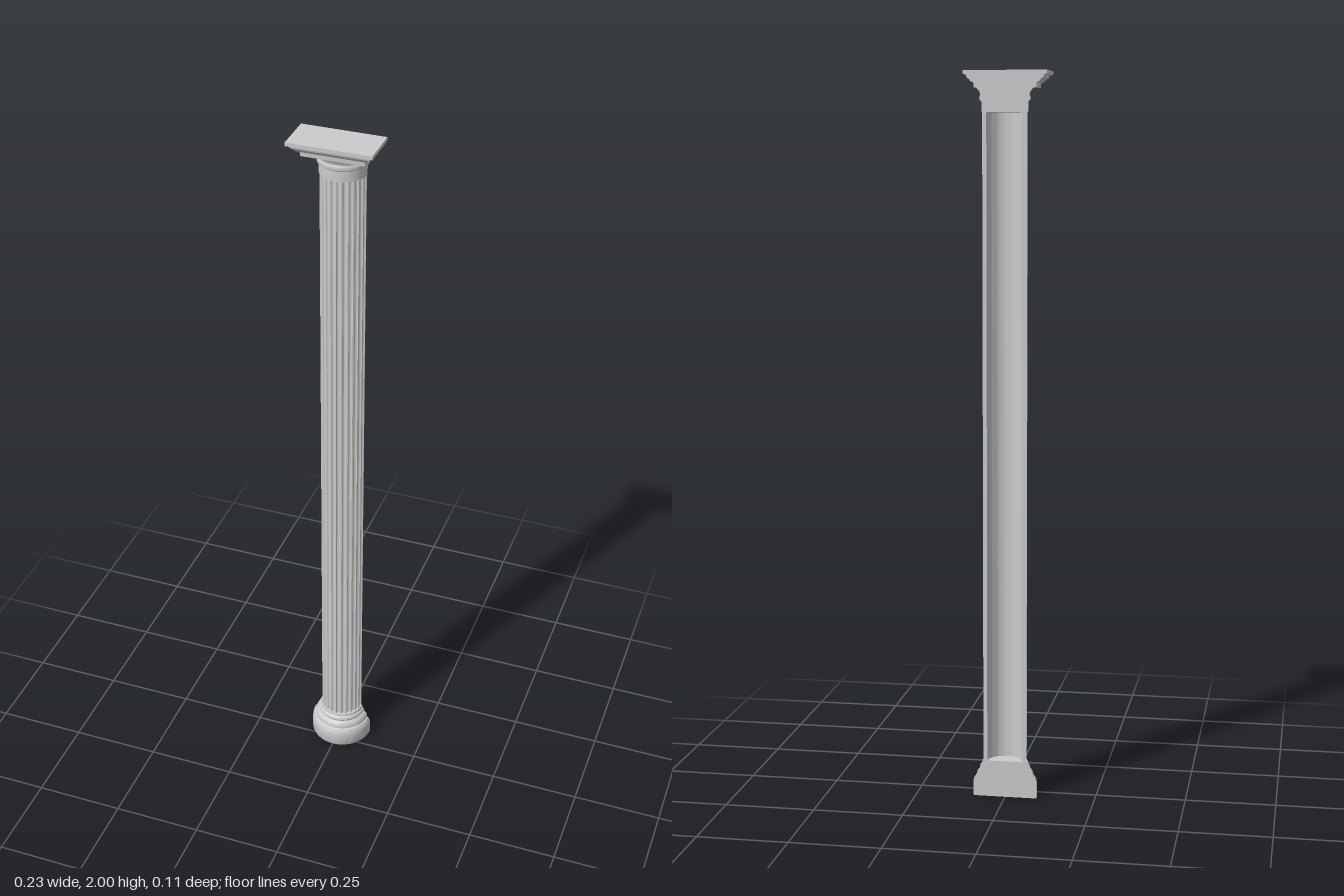
import * as THREE from 'three';
import { toCreasedNormals } from 'three/addons/utils/BufferGeometryUtils.js';

const BACK = -0.057; // flat wall side, also the column axis
const material = new THREE.MeshStandardMaterial({ color: 0xcccccc, side: THREE.DoubleSide });

// Plans of unit radius, running from -x round the front to +x
const halfRound = Array.from({ length: 33 }, (_, i) => {
  const a = -Math.PI / 2 + (Math.PI * i) / 32;
  return [Math.sin(a), Math.cos(a)];
});
const halfSquare = [[-1, 0], [-1, 1], [1, 1], [1, 0]];

// Carries a [radius, y] profile (bottom to top) round a plan and closes the back
function moulding(name, plan, profile) {
  const group = new THREE.Group();
  group.name = name;
  const positions = [], index = [], n = plan.length;
  for (const [r, y] of profile) for (const [x, z] of plan) positions.push(x * r, y, z * r);
  for (let j = 0; j < profile.length - 1; j++) {
    for (let i = 0; i < n - 1; i++) {
      const a = j * n + i, b = a + 1, c = a + n, d = c + 1;
      index.push(a, b, d, a, d, c);
    }
  }
  const geometry = new THREE.BufferGeometry();
  geometry.setAttribute('position', new THREE.Float32BufferAttribute(positions, 3));
  geometry.setIndex(index);
  const front = new THREE.Mesh(toCreasedNormals(geometry, 0.5), material);
  front.name = name + 'Face';

  const outline = [...profile, ...profile.map(([r, y]) => [-r, y]).reverse()];
  const shape = new THREE.Shape(outline.map(([x, y]) => new THREE.Vector2(x, y)));
  const back = new THREE.Mesh(new THREE.ShapeGeometry(shape).rotateY(Math.PI), material);
  back.name = name + 'Back';
  group.add(front, back);
  return group;
}

// Hollow half shaft: fluted outside, smooth inside
function flutedShaft(y0, y1) {
  const R = 0.061, INNER = 0.05, FLUTES = 12, DEPTH = 0.006, STEPS = 8;
  const points = [];
  for (let f = 0; f < FLUTES; f++) {
    for (let s = 0; s <= STEPS; s++) {
      // narrow fillets at both ends of every flute
      const t = s / STEPS, u = 0.12 + 0.76 * t;
      const a = (Math.PI * (f + u)) / FLUTES;
      const r = R - DEPTH * Math.sqrt(Math.max(0, 1 - (2 * t - 1) ** 2));
      points.push(new THREE.Vector2(-r * Math.cos(a), -r * Math.sin(a)));
    }
  }
  points.unshift(new THREE.Vector2(-R, 0));
  points.push(new THREE.Vector2(R, 0));
  for (let i = 0; i <= 24; i++) {
    const a = (Math.PI * i) / 24;
    points.push(new THREE.Vector2(INNER * Math.cos(a), -INNER * Math.sin(a)));
  }
  const geometry = new THREE.ExtrudeGeometry(new THREE.Shape(points), { depth: y1 - y0, bevelEnabled: false });
  geometry.rotateX(-Math.PI / 2).translate(0, y0, 0);
  const mesh = new THREE.Mesh(toCreasedNormals(geometry, 0.6), material);
  mesh.name = 'flutedShaft';
  return mesh;
}

export function createModel() {
  const model = new THREE.Group();
  model.name = 'halfColumn';

  const column = new THREE.Group();
  column.name = 'column';
  column.position.z = BACK;

  // Drum, rounded shoulder and stepped rings
  column.add(moulding('base', halfRound, [
    [0, 0], [0.088, 0], [0.09, 0.005], [0.09, 0.04], [0.088, 0.052], [0.084, 0.058],
    [0.08, 0.06], [0.08, 0.066], [0.077, 0.075], [0.072, 0.08], [0.069, 0.081],
    [0.071, 0.086], [0.069, 0.092], [0.065, 0.095], [0.064, 0.103], [0, 0.103],
  ]));

  column.add(flutedShaft(0.1, 1.895));

  // Round neck and flaring cushion
  column.add(moulding('neck', halfRound, [
    [0, 1.89], [0.063, 1.89], [0.063, 1.918], [0.068, 1.922], [0.069, 1.927], [0.068, 1.932],
    [0.066, 1.935], [0.068, 1.943], [0.074, 1.951], [0.082, 1.957], [0, 1.957],
  ]));

  // Square slab with stepped edge
  column.add(moulding('abacus', halfSquare, [
    [0, 1.955], [0.084, 1.955], [0.085, 1.968], [0.092, 1.97], [0.096, 1.976], [0.103, 1.981],
    [0.105, 1.988], [0.113, 1.99], [0.113, 2], [0, 2],
  ]));

  model.add(column);
  return model;
}
